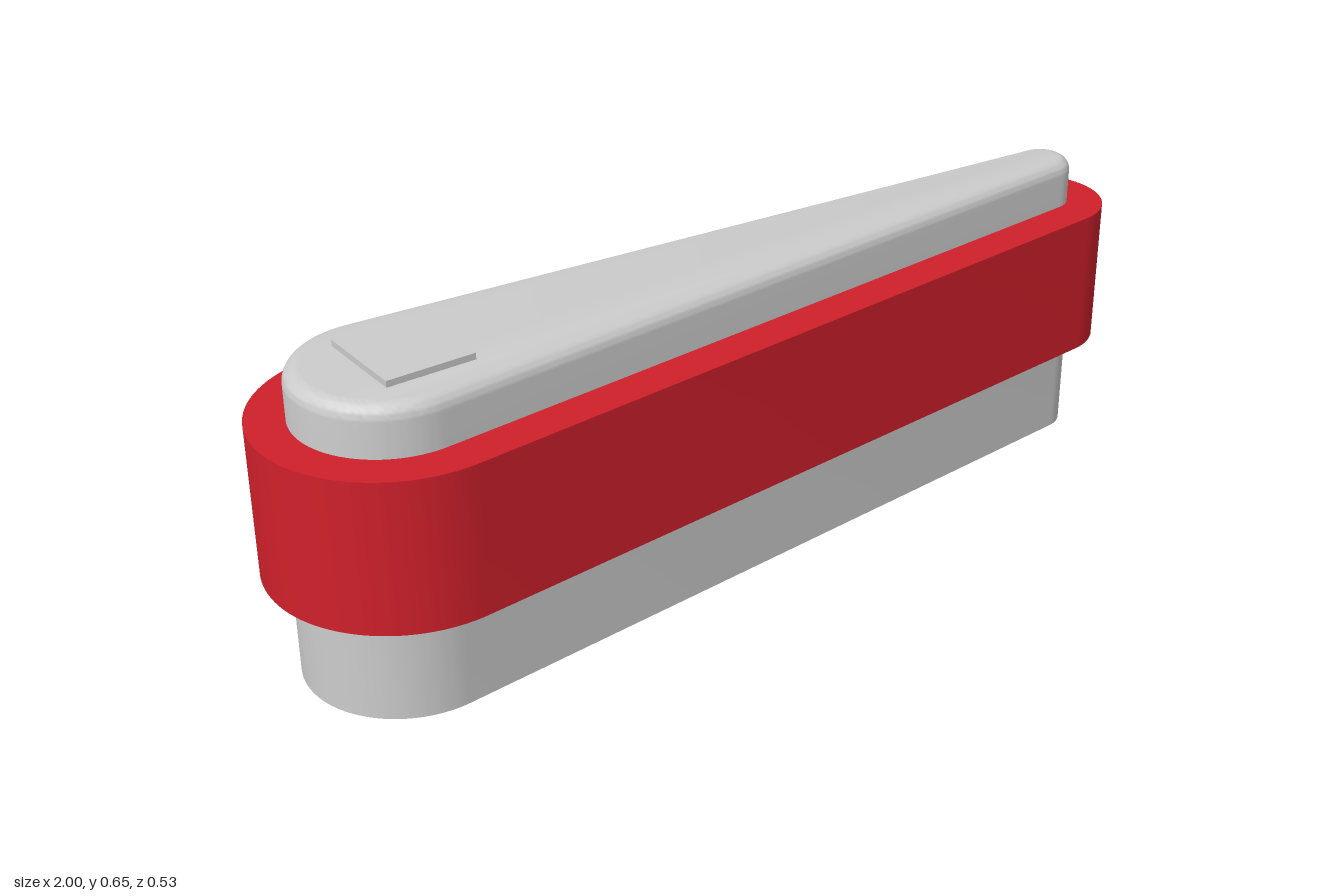
import * as THREE from 'three';
import { toCreasedNormals } from 'three/addons/utils/BufferGeometryUtils.js';

// Teardrop outline: a large and a small round end joined by tangent lines,
// reaching from -halfLength to +halfLength along x.
function outline(halfLength, bigR, smallR) {
  const bigX = -halfLength + bigR;
  const smallX = halfLength - smallR;
  const t = Math.acos((bigR - smallR) / (smallX - bigX));
  const shape = new THREE.Shape();
  shape.absarc(smallX, 0, smallR, -t, t, false);
  shape.absarc(bigX, 0, bigR, t, 2 * Math.PI - t, false);
  return shape;
}

// Extrudes an outline upward from y0 to y1, with optional rounded edges.
function slab(name, shape, y0, y1, color, round = 0) {
  const geometry = new THREE.ExtrudeGeometry(shape, {
    depth: y1 - y0 - 2 * round,
    curveSegments: 40,
    bevelEnabled: round > 0,
    bevelSize: round,
    bevelThickness: round,
    bevelOffset: -round,
    bevelSegments: 8,
  });
  geometry.translate(0, 0, y0 + round);
  geometry.rotateX(-Math.PI / 2);
  const mesh = new THREE.Mesh(
    toCreasedNormals(geometry, 0.6),
    new THREE.MeshStandardMaterial({ color })
  );
  mesh.name = name;
  return mesh;
}

export function createModel() {
  const group = new THREE.Group();
  group.name = 'taperedBlock';
  const grey = 0xcccccc;
  const red = 0xd0202b;

  // Lower block
  group.add(slab('base', outline(0.945, 0.202, 0.078), 0, 0.215, grey));

  // Inner block with a rounded top edge, running up through the band
  group.add(slab('core', outline(0.925, 0.183, 0.06), 0.15, 0.635, grey, 0.03));

  // Wide band around the core
  const bandShape = outline(1, 0.265, 0.14);
  bandShape.holes.push(outline(0.925, 0.183, 0.06));
  group.add(slab('band', bandShape, 0.222, 0.533, red));

  // Plain raised pad on the wide end
  const pad = new THREE.Mesh(
    new THREE.BoxGeometry(0.18, 0.02, 0.2),
    new THREE.MeshStandardMaterial({ color: grey })
  );
  pad.name = 'raisedPad';
  pad.position.set(-0.705, 0.638, 0);
  group.add(pad);

  return group;
}
